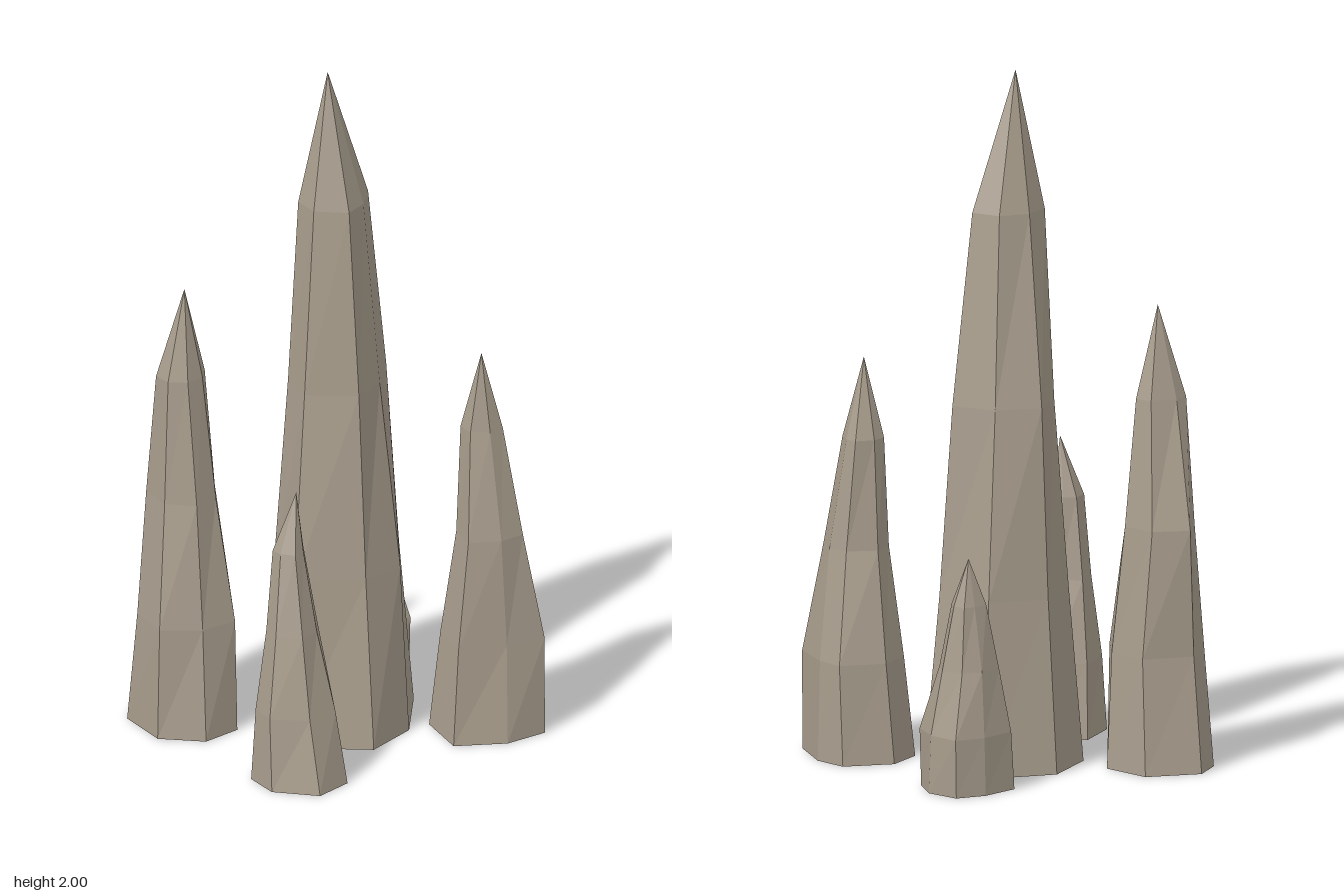
import * as THREE from 'three';

// Heights of the three rings as fractions of the apex height
const LEVELS = [0.25, 0.525, 0.8];

// Chip the foot outline slightly, then fit it to a ring's bounds
function fitRing(foot, y, [x0, x1, z0, z1], level) {
  const centre = new THREE.Box3().setFromPoints(foot).getCenter(new THREE.Vector3());
  const ring = foot.map((p, i) => {
    const chip = 1 + 0.06 * Math.sin(i * 2.7 + level * 1.9);
    return p.clone().sub(centre).multiplyScalar(chip);
  });
  const { min, max } = new THREE.Box3().setFromPoints(ring);
  return ring.map((p) => new THREE.Vector3(
    THREE.MathUtils.mapLinear(p.x, min.x, max.x, x0, x1), y,
    THREE.MathUtils.mapLinear(p.z, min.z, max.z, z0, z1),
  ));
}

function makeMesh(name, points, material) {
  const geometry = new THREE.BufferGeometry().setFromPoints(points);
  geometry.computeVertexNormals();
  const mesh = new THREE.Mesh(geometry, material);
  mesh.name = name;
  return mesh;
}

function makeSpire(name, tip, outline, bounds, stone, underside) {
  const apex = new THREE.Vector3(...tip);
  const foot = outline.map(([x, z]) => new THREE.Vector3(x, 0, z));
  const loops = [foot, ...bounds.map((b, l) => fitRing(foot, LEVELS[l] * apex.y, b, l))];
  const top = loops[loops.length - 1];
  const walls = [], sole = [];

  foot.forEach((corner, i) => {
    const j = (i + 1) % foot.length;
    // Faceted walls
    for (let l = 0; l < loops.length - 1; l++) {
      const low = loops[l], high = loops[l + 1];
      walls.push(low[i], high[i], low[j], low[j], high[i], high[j]);
    }
    // Pointed tip
    walls.push(top[i], apex, top[j]);
    // Flat foot, fanned from the first corner
    if (i > 0 && j > 0) sole.push(foot[0], corner, foot[j]);
  });

  const spire = new THREE.Group();
  spire.name = name;
  spire.add(makeMesh('rockBody', walls, stone), makeMesh('rockFoot', sole, underside));
  return spire;
}

export function createModel() {
  const stone = new THREE.MeshStandardMaterial({ color: 0xa89d8d });
  stone.name = 'stone';
  const underside = new THREE.MeshStandardMaterial({ color: 0x2c2c2c });
  underside.name = 'dark underside';

  const model = new THREE.Group();
  model.name = 'rockSpires';
  const addSpire = (name, tip, outline, bounds) =>
    model.add(makeSpire(name, tip, outline, bounds, stone, underside));

  // Each spire: apex, foot corners as x, z, then ring bounds as x min, x max, z min, z max
  addSpire('mainSpire', [-0.02, 2, -0.02],
    [[-0.04, -0.245], [0.165, -0.21], [0.277, -0.035], [0.145, 0.15], [-0.015, 0.217], [-0.21, 0.08], [-0.185, -0.12]],
    [[-0.185, 0.225, -0.205, 0.165], [-0.13, 0.19, -0.185, 0.12], [-0.09, 0.12, -0.11, 0.08]]);
  addSpire('backLeftSpire', [-0.36, 1.33, -0.24],
    [[-0.41, -0.42], [-0.25, -0.385], [-0.2, -0.24], [-0.265, -0.11], [-0.385, -0.085], [-0.49, -0.175], [-0.485, -0.345]],
    [[-0.485, -0.22, -0.378, -0.11], [-0.445, -0.25, -0.38, -0.15], [-0.43, -0.29, -0.3, -0.19]]);
  addSpire('frontRightSpire', [0.33, 1.15, 0.24],
    [[0.315, 0.075], [0.46, 0.11], [0.49, 0.21], [0.46, 0.37], [0.33, 0.38], [0.19, 0.315], [0.215, 0.145]],
    [[0.21, 0.48, 0.1, 0.36], [0.25, 0.44, 0.155, 0.335], [0.285, 0.395, 0.175, 0.28]]);
  addSpire('frontLeftSpire', [-0.285, 0.86, 0.235],
    [[-0.31, 0.11], [-0.2, 0.165], [-0.13, 0.24], [-0.205, 0.38], [-0.32, 0.417], [-0.42, 0.32], [-0.42, 0.21]],
    [[-0.415, -0.175, 0.13, 0.37], [-0.38, -0.215, 0.16, 0.33], [-0.35, -0.255, 0.185, 0.28]]);
  addSpire('backRightSpire', [0.27, 0.67, -0.31],
    [[0.26, -0.4], [0.35, -0.395], [0.39, -0.3], [0.365, -0.2], [0.27, -0.18], [0.16, -0.235], [0.15, -0.36]],
    [[0.16, 0.385, -0.4, -0.195], [0.19, 0.35, -0.375, -0.225], [0.225, 0.315, -0.345, -0.26]]);
  return model;
}
